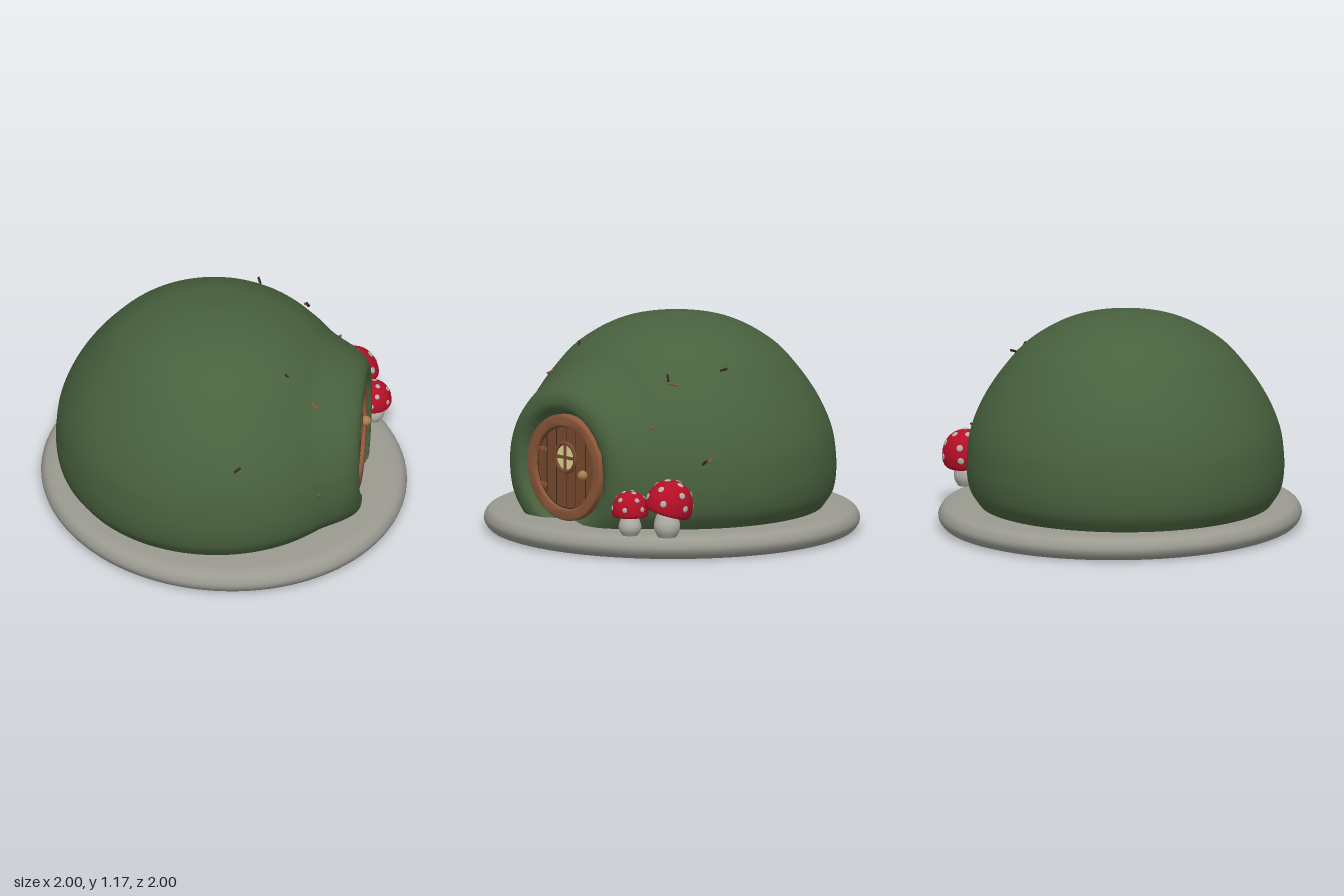
import * as THREE from 'three';
import { mergeVertices, toCreasedNormals } from 'three/addons/utils/BufferGeometryUtils.js';

const material = (name, color, side = THREE.FrontSide) => {
  const m = new THREE.MeshStandardMaterial({ color, side });
  m.name = name;
  return m;
};
const moss = material('moss green', 0x48613e);
const stone = material('stone grey', 0x9a9a91);
const frameWood = material('frame wood', 0x8c5639);
const doorWood = material('door wood', 0x784a30);
const darkWood = material('dark wood', 0x3a2a1c);
const glow = material('window yellow', 0xe2da92);
const brass = material('brass', 0xa87c4c);
const red = material('cap red', 0xb50f26);
const pale = material('pale grey', 0xb0afa8);

function add(parent, name, geometry, mat, x = 0, y = 0, z = 0) {
  const mesh = new THREE.Mesh(geometry, mat);
  mesh.name = name;
  mesh.position.set(x, y, z);
  parent.add(mesh);
  return mesh;
}

const spline = (pts) => new THREE.SplineCurve(pts.map(([x, y]) => new THREE.Vector2(x, y)));

// Drop uv seams so a lathe shades smoothly all round
function weld(geometry) {
  geometry.deleteAttribute('uv');
  geometry.deleteAttribute('normal');
  const g = mergeVertices(geometry, 1e-5);
  g.computeVertexNormals();
  return g;
}

// Door placement: centre and facing direction
const doorCentre = new THREE.Vector3(0.46, 0.415, 0.535);
const doorAngle = 0.821;
const facing = new THREE.Vector3(Math.sin(doorAngle), 0, Math.cos(doorAngle));
const sideways = new THREE.Vector3(Math.cos(doorAngle), 0, -Math.sin(doorAngle));

// Mound, pulled to a flat hooded wall around the door
function moundGeometry() {
  const profile = spline([[0.77, 0.125], [0.795, 0.16], [0.825, 0.21], [0.84, 0.29], [0.84, 0.39], [0.82, 0.53],
    [0.755, 0.69], [0.65, 0.85], [0.51, 1.0], [0.29, 1.12], [0, 1.17]]);
  const points = profile.getSpacedPoints(72);
  points[72].x = 0;
  const g = new THREE.LatheGeometry(points, 144);
  g.scale(1, 1, 1.01);
  g.translate(-0.09, 0, -0.02);
  const p = g.attributes.position;
  const v = new THREE.Vector3(), rel = new THREE.Vector3();
  for (let i = 0; i < p.count; i++) {
    v.fromBufferAttribute(p, i);
    rel.subVectors(v, doorCentre);
    const depth = rel.dot(facing);
    if (depth < -0.4) continue;
    const rho = Math.hypot(rel.dot(sideways), rel.y);
    const blend = 1 - THREE.MathUtils.smoothstep(rho, 0.36, 0.56);
    const wall = THREE.MathUtils.lerp(-0.05, 0.025, THREE.MathUtils.smoothstep(rho, 0.27, 0.33));
    v.addScaledVector(facing, (wall - depth) * blend);
    p.setXYZ(i, v.x, v.y, v.z);
  }
  return weld(g);
}

function buildDoor() {
  const door = new THREE.Group();
  door.name = 'roundDoor';
  door.position.copy(doorCentre);
  door.rotation.y = doorAngle;

  // Round surround with bevelled edges
  const ring = new THREE.Shape().absarc(0, 0, 0.275, 0, Math.PI * 2);
  ring.holes.push(new THREE.Path().absarc(0, 0, 0.232, 0, Math.PI * 2, true));
  const ringGeometry = new THREE.ExtrudeGeometry(ring, {
    depth: 0.075, bevelEnabled: true, bevelSize: 0.01, bevelThickness: 0.01, bevelSegments: 2, curveSegments: 48,
  });
  add(door, 'doorFrame', toCreasedNormals(ringGeometry, 0.6), frameWood, 0, 0, -0.075);

  const panel = new THREE.CylinderGeometry(0.228, 0.228, 0.06, 48);
  panel.rotateX(Math.PI / 2);
  add(door, 'doorPanel', panel, doorWood, 0, 0, -0.042);
  add(door, 'doorGap', new THREE.RingGeometry(0.217, 0.223, 48), darkWood, 0, 0, -0.0105);
  for (const x of [-0.15, -0.075, 0, 0.075, 0.15]) {
    const h = 2 * Math.sqrt(0.215 ** 2 - x * x);
    add(door, 'plankGroove', new THREE.BoxGeometry(0.004, h, 0.003), darkWood, x, 0, -0.0115);
  }

  // Round window with crossed bars
  const wy = 0.055;
  add(door, 'windowPane', new THREE.CircleGeometry(0.078, 32), glow, 0, wy, -0.007);
  add(door, 'windowRim', new THREE.TorusGeometry(0.077, 0.011, 8, 32), doorWood, 0, wy, -0.006);
  add(door, 'windowBar', new THREE.BoxGeometry(0.016, 0.15, 0.012), doorWood, 0, wy, -0.004);
  add(door, 'windowBar', new THREE.BoxGeometry(0.15, 0.016, 0.012), doorWood, 0, wy, -0.004);

  // Knob and hinges
  add(door, 'knob', new THREE.SphereGeometry(0.027, 16, 12), brass, 0.155, -0.02, 0.014);
  for (const y of [-0.11, 0.08]) {
    add(door, 'hinge', new THREE.BoxGeometry(0.05, 0.02, 0.012), frameWood, -0.175, y, -0.008);
  }
  return door;
}

// Toadstool: barrel stem, rounded cap and raised spots
function buildMushroom(name, radius, stemHeight, stemRadius, capLean) {
  const group = new THREE.Group();
  group.name = name;
  const stem = spline([[0.7, 0], [0.95, 0.25], [1, 0.5], [0.85, 0.8], [0.6, 1.1]]).getPoints(16);
  const stemPoints = stem.map((q) => new THREE.Vector2(q.x * stemRadius, q.y * stemHeight));
  add(group, 'stem', weld(new THREE.LatheGeometry(stemPoints, 24)), pale);

  const cap = new THREE.Group();
  cap.name = 'cap';
  cap.position.y = stemHeight;
  cap.rotation.x = capLean;
  cap.scale.setScalar(radius);
  group.add(cap);
  const top = spline([[0.94, -0.02], [1, 0.16], [0.95, 0.6], [0.72, 1.03], [0.37, 1.28], [0, 1.36]]);
  const under = [[0.02, 0.18], [0.5, 0.1], [0.85, -0.04]].map(([x, y]) => new THREE.Vector2(x, y));
  add(cap, 'capTop', weld(new THREE.LatheGeometry([...under, ...top.getPoints(24)], 32)), red);

  const forward = new THREE.Vector3(0, 0, 1);
  for (const [u, count, offset] of [[0.25, 6, 0.3], [0.53, 5, 0.9], [0.82, 3, 0.2]]) {
    const q = top.getPointAt(u), t = top.getTangentAt(u);
    for (let i = 0; i < count; i++) {
      const a = offset + (i / count) * Math.PI * 2;
      const spot = add(cap, 'spot', new THREE.SphereGeometry(0.14, 12, 8), pale,
        q.x * Math.sin(a), q.y, q.x * Math.cos(a));
      spot.scale.z = 0.3;
      const normal = new THREE.Vector3(t.y * Math.sin(a), -t.x, t.y * Math.cos(a));
      spot.quaternion.setFromUnitVectors(forward, normal.normalize());
    }
  }
  return group;
}

export function createModel() {
  const model = new THREE.Group();
  model.name = 'moundHouse';

  // Rounded stone slab
  const slab = spline([[0.93, 0], [0.975, 0.017], [1, 0.062], [0.98, 0.108], [0.935, 0.127], [0.88, 0.13]]).getPoints(24);
  const slabGeometry = new THREE.LatheGeometry([new THREE.Vector2(0, 0), new THREE.Vector2(0.88, 0), ...slab,
    new THREE.Vector2(0, 0.13)], 96);
  slabGeometry.scale(0.955, 1, 1);
  add(model, 'stoneBase', weld(slabGeometry), stone, -0.045, 0, 0);

  add(model, 'mossMound', moundGeometry(), moss);
  model.add(buildDoor());

  const big = buildMushroom('largeMushroom', 0.128, 0.135, 0.07, -0.28);
  big.position.set(0.868, 0.125, -0.04);
  const small = buildMushroom('smallMushroom', 0.098, 0.105, 0.06, 0);
  small.position.set(0.83, 0.125, 0.16);
  model.add(big, small);

  // Loose twigs caught in the moss
  const twigs = [[0, 1.0, 0.49], [0.07, 0.86, 0.64], [-0.46, 0.69, 0.66], [-0.05, 0.43, 0.83], [0.53, 0.92, -0.02],
    [0.55, 0.89, -0.05], [0.43, 0.95, -0.31], [0.7, 0.51, -0.26], [0.72, 0.5, -0.23], [0.68, 0.68, 0.06]];
  twigs.forEach(([x, y, z], i) => {
    const twig = add(model, 'twig', new THREE.CylinderGeometry(0.006, 0.007, 0.04, 6), i % 2 ? frameWood : darkWood, x, y, z);
    twig.rotation.set(i * 0.9, i * 1.7, 0.6 + i * 0.5);
  });
  return model;
}
